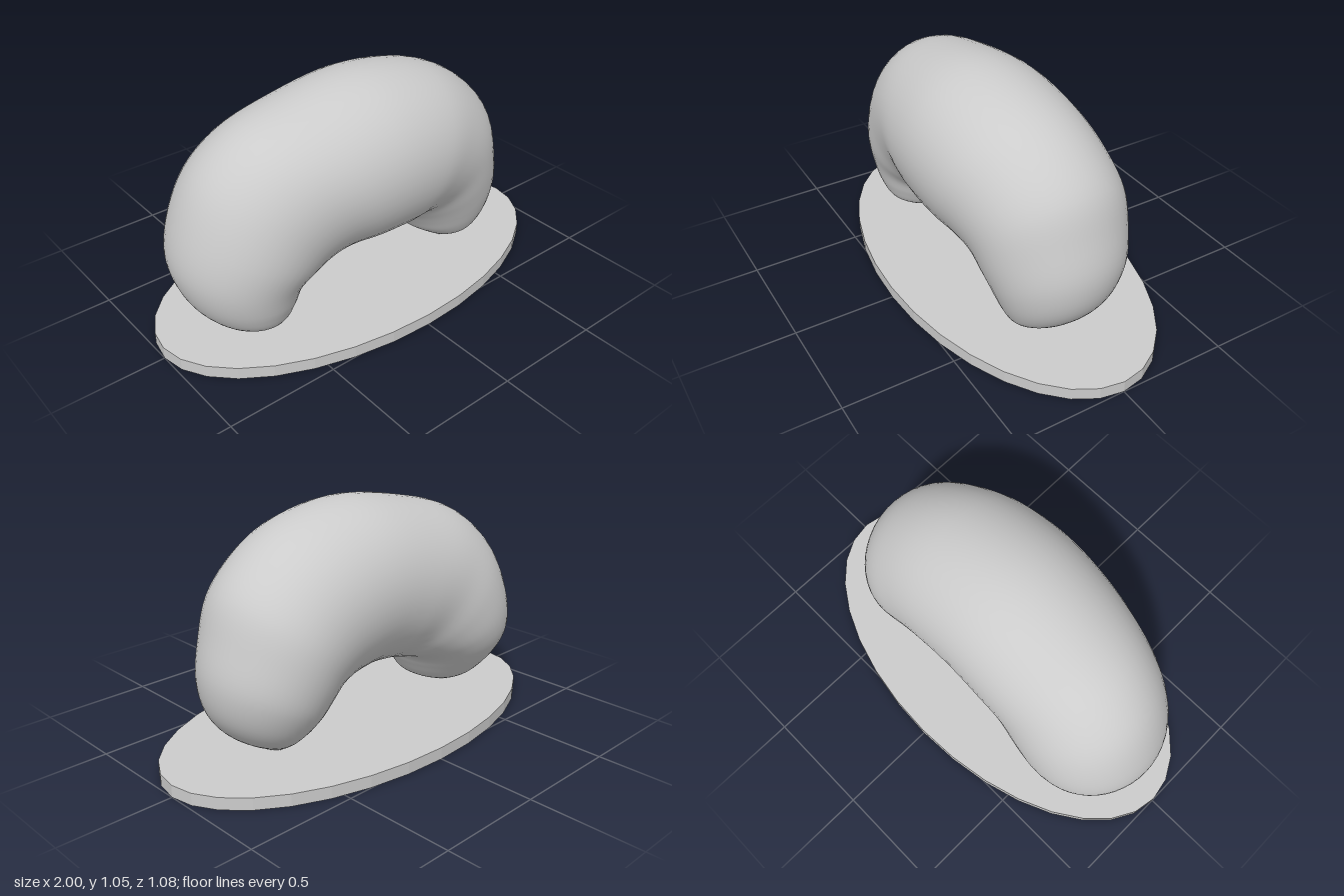
import * as THREE from 'three';

// Stations from the right foot over the arch to the left foot:
// outer x, outer y, inner x, inner y, centre z, half depth
const STATIONS = [
  [-0.66, 0.055, -0.52, 0.055, 0.03, 0.11],
  [-0.78, 0.12, -0.43, 0.10, 0.03, 0.21],
  [-0.86, 0.22, -0.38, 0.17, 0.01, 0.27],
  [-0.90, 0.37, -0.345, 0.22, -0.01, 0.315],
  [-0.87, 0.55, -0.28, 0.255, -0.01, 0.345],
  [-0.77, 0.77, -0.20, 0.272, 0.0, 0.355],
  [-0.60, 0.92, -0.13, 0.28, 0.02, 0.36],
  [-0.33, 1.005, -0.06, 0.28, 0.04, 0.375],
  [0.0, 1.05, 0.0, 0.28, 0.05, 0.38],
  [0.33, 0.995, 0.06, 0.28, 0.045, 0.375],
  [0.53, 0.895, 0.13, 0.28, 0.03, 0.36],
  [0.68, 0.75, 0.20, 0.27, 0.015, 0.345],
  [0.745, 0.57, 0.25, 0.23, 0.01, 0.325],
  [0.78, 0.40, 0.29, 0.18, 0.01, 0.295],
  [0.755, 0.25, 0.33, 0.13, 0.02, 0.25],
  [0.68, 0.14, 0.38, 0.095, 0.03, 0.20],
  [0.55, 0.055, 0.44, 0.055, 0.03, 0.11],
];

// Lofts elliptical sections between the outer and inner edge of the arch
function archGeometry(rows, sides) {
  const outer = new THREE.CatmullRomCurve3(STATIONS.map((s) => new THREE.Vector3(s[0], s[1], s[4])));
  const inner = new THREE.CatmullRomCurve3(STATIONS.map((s) => new THREE.Vector3(s[2], s[3], s[5])));
  const pos = [];
  const index = [];

  // The first and last rings shrink to a point to close the soles
  for (let i = -1; i <= rows + 1; i++) {
    const t = THREE.MathUtils.clamp(i / rows, 0, 1);
    const size = i < 0 || i > rows ? 0 : 1;
    const o = outer.getPoint(t);
    const n = inner.getPoint(t);
    for (let j = 0; j < sides; j++) {
      const a = (j / sides) * Math.PI * 2;
      const c = 0.5 * size * Math.cos(a);
      pos.push(
        (o.x + n.x) / 2 + (o.x - n.x) * c,
        Math.max(0.05, (o.y + n.y) / 2 + (o.y - n.y) * c),
        o.z + n.z * size * Math.sin(a),
      );
    }
  }
  for (let i = 0; i < rows + 2; i++) {
    for (let j = 0; j < sides; j++) {
      const k = (j + 1) % sides;
      const a = i * sides + j;
      const b = i * sides + k;
      index.push(a, b, a + sides, b, b + sides, a + sides);
    }
  }
  const geo = new THREE.BufferGeometry();
  geo.setAttribute('position', new THREE.Float32BufferAttribute(pos, 3));
  geo.setIndex(index);
  geo.computeVertexNormals();
  return geo;
}

export function createModel() {
  const group = new THREE.Group();
  group.name = 'archSculpture';

  // Oval faceted plinth
  const base = new THREE.Mesh(
    new THREE.CylinderGeometry(1, 1, 0.055, 32),
    new THREE.MeshStandardMaterial({ color: 0xcccccc, flatShading: true }),
  );
  base.name = 'base';
  base.scale.z = 0.54;
  base.position.y = 0.0275;
  group.add(base);

  // Smooth bean-shaped arch standing on two feet
  const arch = new THREE.Mesh(
    archGeometry(80, 48),
    new THREE.MeshStandardMaterial({ color: 0xcccccc }),
  );
  arch.name = 'beanArch';
  group.add(arch);

  return group;
}
